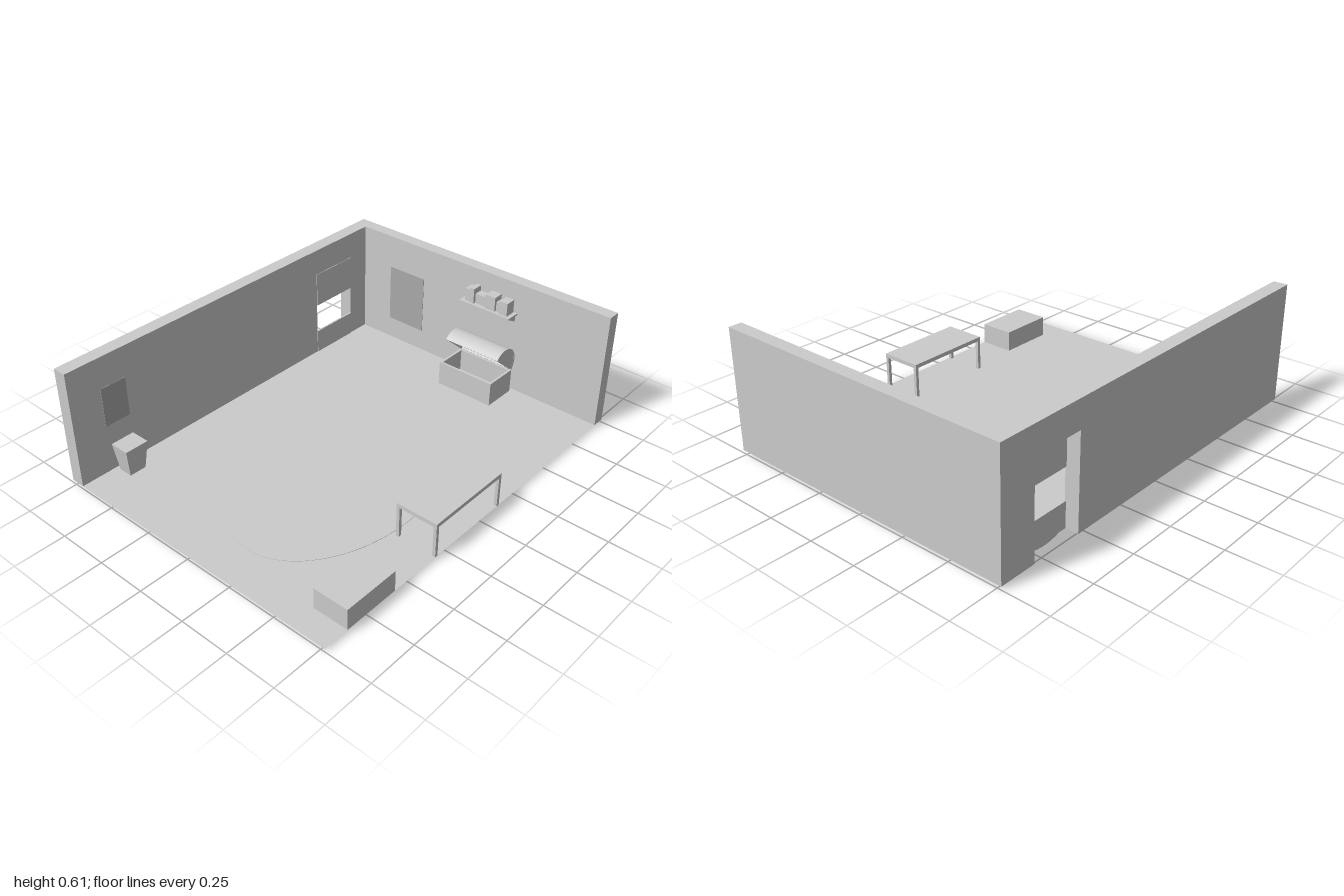
import * as THREE from 'three';

const FLOOR = 0.015;

export function createModel() {
  const room = new THREE.Group();
  room.name = 'room';
  const grey = new THREE.MeshStandardMaterial({ color: 0xcccccc, flatShading: true });
  const thin = new THREE.MeshStandardMaterial({ color: 0xcccccc, side: THREE.DoubleSide });
  const posterGrey = new THREE.MeshStandardMaterial({ color: 0xaaaaaa });
  const rugGrey = new THREE.MeshStandardMaterial({ color: 0xd8d8d8 });

  const add = (name, geometry, material = grey, parent = room) => {
    const mesh = new THREE.Mesh(geometry, material);
    mesh.name = name;
    parent.add(mesh);
    return mesh;
  };
  // Box given by its extents on each axis
  const box = (name, [x0, x1], [y0, y1], [z0, z1], parent = room, material = grey) => {
    const mesh = add(name, new THREE.BoxGeometry(x1 - x0, y1 - y0, z1 - z0), material, parent);
    mesh.position.set((x0 + x1) / 2, (y0 + y1) / 2, (z0 + z1) / 2);
    return mesh;
  };
  // Side profile with points (z, y), extruded along x from x0 to x1
  const sideProfile = (name, shape, x0, x1, parent = room, material = grey) => {
    const geometry = new THREE.ExtrudeGeometry(shape, { depth: x1 - x0, bevelEnabled: false, curveSegments: 24 });
    geometry.rotateY(-Math.PI / 2); // (z, y, depth) -> (-depth, y, z)
    geometry.translate(x1, 0, 0);
    return add(name, geometry, material, parent);
  };
  const polygon = (points) => new THREE.Shape(points.map(([a, b]) => new THREE.Vector2(a, b)));

  // Floor and oval rug
  const floor = add('floor', new THREE.PlaneGeometry(1.47, 1.935).rotateX(-Math.PI / 2), thin);
  floor.position.set(0.035, FLOOR, 0.0325);
  const rug = add('rug', new THREE.CylinderGeometry(1, 1, 0.005, 64), rugGrey);
  rug.scale.set(0.385, 1, 0.575);
  rug.position.set(0.16, 0.0145, 0.23);

  // Back wall, and left wall notched by the doorway
  box('backWall', [-0.77, 0.77], [FLOOR, 0.61], [-1, -0.935]);
  sideProfile('sideWall', polygon([
    [1, FLOOR], [1, 0.61], [-0.935, 0.61], [-0.935, FLOOR],
    [-0.815, FLOOR], [-0.815, 0.475], [-0.55, 0.475], [-0.55, FLOOR],
  ]), -0.77, -0.7);

  // Thin split door: solid upper panel, lower panel with a bowed bottom
  box('upperDoor', [-0.706, -0.697], [0.295, 0.475], [-0.815, -0.55]);
  const lower = new THREE.Shape();
  lower.moveTo(-0.815, 0.14);
  lower.lineTo(-0.815, FLOOR);
  lower.lineTo(-0.77, FLOOR);
  lower.quadraticCurveTo(-0.68, -0.015, -0.59, FLOOR);
  lower.lineTo(-0.55, FLOOR);
  lower.lineTo(-0.55, 0.14);
  sideProfile('lowerDoor', lower, -0.706, -0.697);

  // Posters
  box('backPoster', [-0.52, -0.3], [0.13, 0.435], [-0.936, -0.933], room, posterGrey);
  box('sidePoster', [-0.701, -0.698], [0.255, 0.455], [0.7, 0.835], room, posterGrey);

  // Tapered square bin
  const binGeometry = new THREE.CylinderGeometry(0.051 * Math.SQRT2, 0.036 * Math.SQRT2, 0.145, 4);
  binGeometry.rotateY(Math.PI / 4);
  const bin = add('bin', binGeometry);
  bin.scale.z = 1.2;
  bin.position.set(-0.637, FLOOR + 0.0725, 0.765);

  // Table with four legs
  const table = new THREE.Group();
  table.name = 'table';
  room.add(table);
  box('tableTop', [0.56, 0.77], [0.17, 0.19], [-0.13, 0.325], table);
  for (const x of [0.56, 0.754])
    for (const z of [-0.13, 0.309])
      box('tableLeg', [x, x + 0.016], [FLOOR, 0.17], [z, z + 0.016], table);

  // Crate
  box('crate', [0.593, 0.77], [FLOOR, 0.12], [0.585, 0.87]);

  // Chest: hollow body
  const chest = new THREE.Group();
  chest.name = 'chest';
  room.add(chest);
  const [cx0, cx1, cz0, cz1, t] = [-0.025, 0.288, -0.912, -0.733, 0.012];
  box('chestBottom', [cx0, cx1], [0.013, 0.025], [cz0, cz1], chest);
  for (const z of [cz0, cz1 - t]) box('chestPanel', [cx0, cx1], [0.025, 0.14], [z, z + t], chest);
  for (const x of [cx0, cx1 - t]) box('chestEnd', [x, x + t], [0.025, 0.14], [cz0 + t, cz1 - t], chest);

  // Chest: open half-round lid, a bent shell with two end caps
  const lid = new THREE.Group();
  lid.name = 'chestLid';
  chest.add(lid);
  const tilt = 0.7, r = 0.088;
  const [lz, ly] = [-0.843, 0.198];
  const shell = new THREE.Shape();
  shell.absarc(lz, ly, r, tilt, tilt + Math.PI, false);
  shell.absarc(lz, ly, r - 0.01, tilt + Math.PI, tilt, true);
  sideProfile('lidShell', shell, cx0, cx1, lid);
  for (const x of [cx0, cx1 - t]) {
    const cap = new THREE.Shape();
    cap.absarc(lz, ly, r - 0.005, tilt, tilt + Math.PI, false);
    sideProfile('lidEnd', cap, x + 0.0005, x + t - 0.0005, lid);
  }

  // Wall shelf on triangular brackets
  const shelf = new THREE.Group();
  shelf.name = 'wallShelf';
  room.add(shelf);
  box('shelfBoard', [-0.02, 0.277], [0.44, 0.45], [-0.935, -0.86], shelf);
  for (const x of [-0.006, 0.256])
    sideProfile('shelfBracket', polygon([[-0.935, 0.44], [-0.935, 0.4], [-0.865, 0.44]]), x, x + 0.01, shelf);

  // Objects on the shelf: x start, x end, top, front
  const items = [
    [0.0, 0.03, 0.515, -0.88], [0.032, 0.058, 0.53, -0.872], [0.06, 0.123, 0.502, -0.885],
    [0.125, 0.182, 0.525, -0.875], [0.184, 0.207, 0.5, -0.885], [0.209, 0.256, 0.52, -0.872],
  ];
  for (const [x0, x1, top, front] of items) box('shelfItem', [x0, x1], [0.45, top], [-0.93, front], shelf);

  return room;
}
